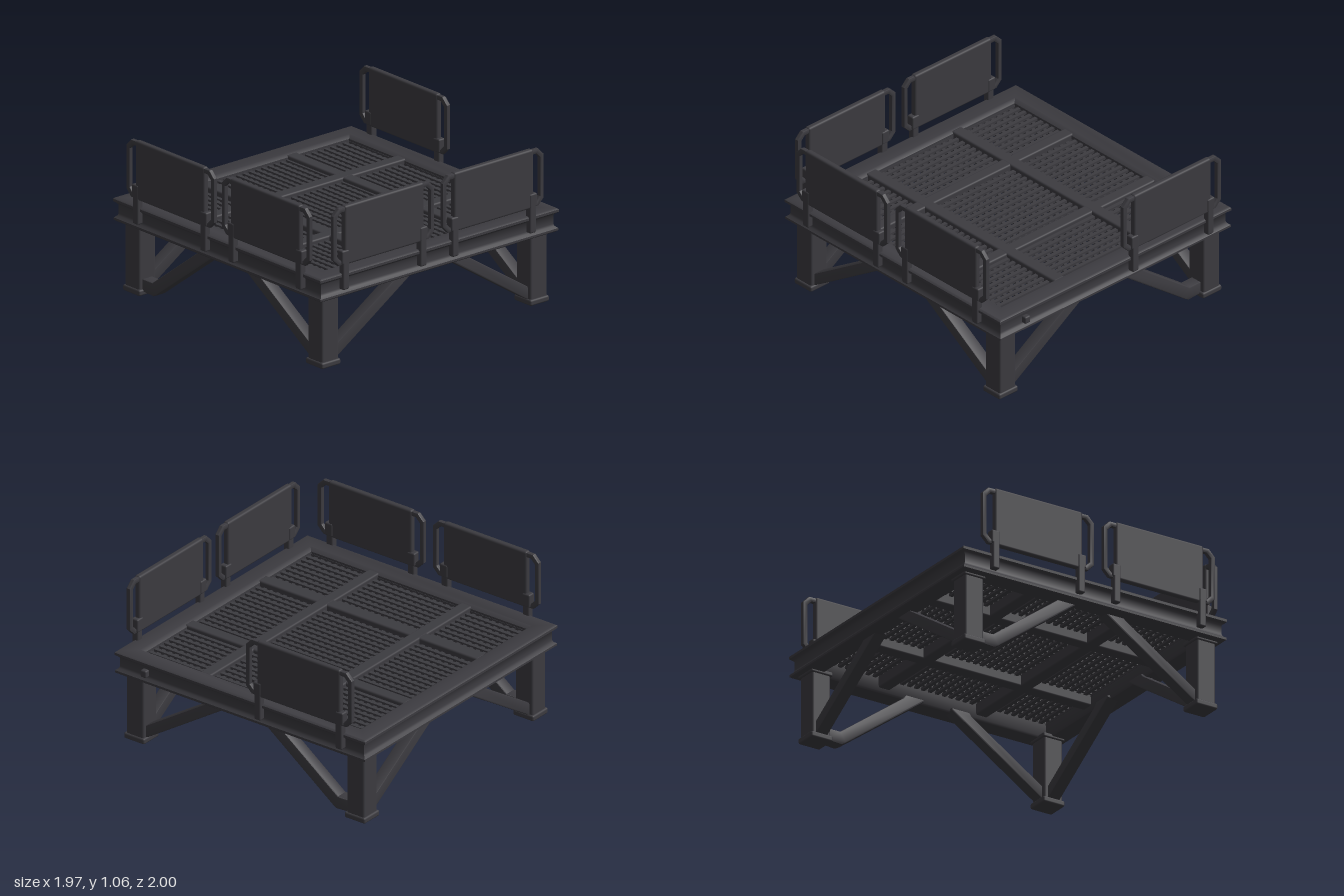
import * as THREE from 'three';
import { mergeGeometries, toCreasedNormals } from 'three/addons/utils/BufferGeometryUtils.js';
import { RoundedBoxGeometry } from 'three/addons/geometries/RoundedBoxGeometry.js';

const steel = new THREE.MeshStandardMaterial({ color: 0x3c3b40 });
steel.name = 'dark steel';

function add(parent, name, geometry, x = 0, y = 0, z = 0) {
  const mesh = new THREE.Mesh(geometry, steel);
  mesh.name = name;
  mesh.position.set(x, y, z);
  parent.add(mesh);
  return mesh;
}

const softBox = (w, h, d, r = 0.01) => new RoundedBoxGeometry(w, h, d, 2, r);

// Rectangle with cut corners, as a shape or a hole
function cutRect(Type, w, y0, y1, c) {
  const p = new Type();
  const a = w / 2;
  p.moveTo(-a + c, y0);
  p.lineTo(a - c, y0);
  p.lineTo(a, y0 + c);
  p.lineTo(a, y1 - c);
  p.lineTo(a - c, y1);
  p.lineTo(-a + c, y1);
  p.lineTo(-a, y1 - c);
  p.lineTo(-a, y0 + c);
  p.closePath();
  return p;
}

// Extrude centred on z = 0, with softened edges kept inside the outline
function slab(shape, depth, bevel) {
  const g = new THREE.ExtrudeGeometry(shape, {
    depth: depth - 2 * bevel, bevelEnabled: true, bevelThickness: bevel,
    bevelSize: bevel, bevelOffset: -bevel, bevelSegments: 2,
  });
  g.translate(0, 0, -depth / 2 + bevel);
  return toCreasedNormals(g, 0.6);
}

// Square I-beam ring: a four-sided lathe gives mitred corners
function buildRim() {
  const profile = [
    [0.84, 0.472], [0.85, 0.46], [0.967, 0.46], [0.977, 0.468], [0.977, 0.482], [0.96, 0.496],
    [0.955, 0.51], [0.955, 0.568], [0.966, 0.58], [0.98, 0.59], [0.98, 0.606], [0.968, 0.615],
    [0.865, 0.615], [0.84, 0.597], [0.84, 0.472],
  ].map(([r, y]) => new THREE.Vector2(r * Math.SQRT2, y));
  return toCreasedNormals(new THREE.LatheGeometry(profile, 4, Math.PI / 4), 0.8);
}

// Open grating: two crossing layers of thin bars
function buildGrating() {
  const bars = [];
  const count = 33;
  const pitch = 1.7 / count;
  for (let i = 0; i <= count; i++) {
    const p = -0.85 + i * pitch;
    bars.push(new THREE.BoxGeometry(1.72, 0.018, 0.025).translate(0, 0.574, p));
    bars.push(new THREE.BoxGeometry(0.025, 0.018, 1.72).translate(p, 0.563, 0));
  }
  return mergeGeometries(bars);
}

// Guard panel: tube frame, filled sheet and two posts, facing +z
function buildGuardPanel() {
  const panel = new THREE.Group();
  panel.name = 'guardPanel';
  const frame = cutRect(THREE.Shape, 0.83, 0.67, 1.05, 0.045);
  frame.holes.push(cutRect(THREE.Path, 0.766, 0.702, 1.018, 0.03));
  add(panel, 'guardFrame', slab(frame, 0.032, 0.008));
  add(panel, 'guardSheet', softBox(0.65, 0.39, 0.042, 0.014), 0, 0.862, 0);
  for (const s of [-1, 1]) {
    add(panel, 'guardPost', softBox(0.05, 0.25, 0.046), s * 0.318, 0.63, 0.003);
    add(panel, 'postClamp', softBox(0.06, 0.09, 0.052), s * 0.322, 0.72, 0);
  }
  return panel;
}

// Diagonal brace outline, running from the leg up toward the middle
function buildBrace() {
  const s = new THREE.Shape();
  s.moveTo(0.82, 0.015);
  s.lineTo(0.77, 0.045);
  s.lineTo(0.12, 0.465);
  s.lineTo(0.12, 0.48);
  s.lineTo(0.25, 0.48);
  s.lineTo(0.27, 0.455);
  s.lineTo(0.82, 0.1);
  s.closePath();
  return slab(s, 0.085, 0.008);
}

// Brace with a short flat stub at the foot
function buildStubBrace() {
  const s = new THREE.Shape();
  s.moveTo(0.82, 0.025);
  s.lineTo(0.70, 0.018);
  s.lineTo(0.67, 0.035);
  s.lineTo(0.09, 0.465);
  s.lineTo(0.09, 0.48);
  s.lineTo(0.22, 0.48);
  s.lineTo(0.24, 0.455);
  s.lineTo(0.71, 0.105);
  s.lineTo(0.82, 0.105);
  s.closePath();
  return slab(s, 0.085, 0.008);
}

export function createModel() {
  const model = new THREE.Group();
  model.name = 'guardedPlatform';

  // Deck: rim, cross beams and grating
  const deck = new THREE.Group();
  deck.name = 'deck';
  deck.position.x = -0.005;
  model.add(deck);
  add(deck, 'deckRim', buildRim());
  add(deck, 'grating', buildGrating());
  for (const s of [-1, 1]) {
    add(deck, 'crossBeamLengthwise', softBox(0.085, 0.115, 1.72, 0.012), s * 0.362, 0.551, 0);
    add(deck, 'crossBeamSideways', softBox(1.72, 0.113, 0.085, 0.012), 0, 0.551, s * 0.372 - 0.008);
  }
  add(deck, 'looseClip', softBox(0.045, 0.05, 0.045), 0.75, 0.53, -0.965);

  // Legs with feet, collars and a brace along each side
  const brace = buildBrace();
  const stubBrace = buildStubBrace();
  for (const sx of [-1, 1]) {
    for (const sz of [-1, 1]) {
      const leg = new THREE.Group();
      leg.name = 'cornerLeg';
      model.add(leg);
      const x = sx * 0.863 - 0.005;
      const z = sz * 0.857;
      add(leg, 'legColumn', softBox(0.137, 0.47, 0.137, 0.014), x, 0.24, z);
      add(leg, 'foot', softBox(0.16, 0.04, 0.155, 0.012), x, 0.02, z);
      add(leg, 'collar', softBox(0.16, 0.03, 0.155, 0.01), x, 0.46, z);
      // Turned rather than mirrored, so the faces keep their order
      const along = add(leg, 'braceAlongX', sx < 0 ? stubBrace : brace, 0, 0, z);
      along.rotation.y = sx < 0 ? Math.PI : 0;
      const across = add(leg, 'braceAlongZ', brace, x, 0, 0);
      across.rotation.y = -sz * Math.PI / 2;
    }
  }

  // Guard panels: two in front, two on the left side, one at the back
  const placements = [
    [-0.435, 0.975, 0], [0.465, 0.975, 0],
    [0.962, 0.46, Math.PI / 2], [0.962, -0.44, Math.PI / 2],
    [-0.475, -0.975, Math.PI],
  ];
  for (const [x, z, turn] of placements) {
    const panel = buildGuardPanel();
    panel.position.set(x, 0, z);
    panel.rotation.y = turn;
    model.add(panel);
  }
  return model;
}
